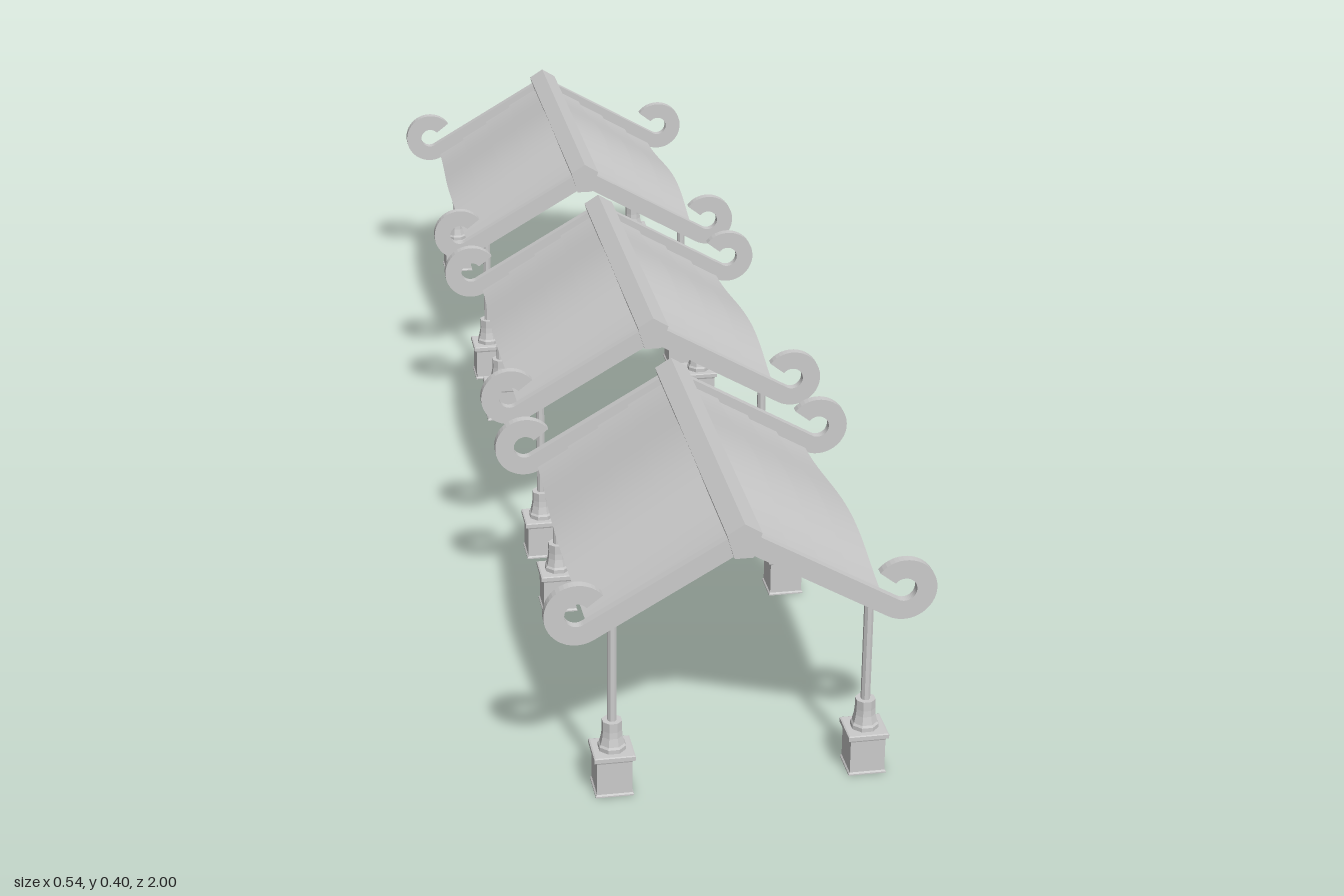
import * as THREE from 'three';

const flat = new THREE.MeshStandardMaterial({ color: 0xcccccc, flatShading: true, side: THREE.DoubleSide });
const smooth = new THREE.MeshStandardMaterial({ color: 0xcccccc });

const PITCH = Math.PI / 6;          // roof slope
const BAY_SPACING = 0.708;
const FRAME_Z = 0.2635;             // end frames, from the bay centre
const POST_X = 0.177;
const SCROLL = { x: 0.225, y: 0.275, outer: 0.045, inner: 0.017 };

function part(name, geometry, material, x = 0, y = 0, z = 0) {
  const mesh = new THREE.Mesh(geometry, material);
  mesh.name = name;
  mesh.position.set(x, y, z);
  return mesh;
}

// Extrusion centred on z = 0
function slab(shape, depth) {
  const g = new THREE.ExtrudeGeometry(shape, { depth, bevelEnabled: false, curveSegments: 28 });
  return g.translate(0, 0, -depth / 2);
}

function polygon(points) {
  return new THREE.Shape(points.map(([x, y]) => new THREE.Vector2(x, y)));
}

// Prism with flat sides facing the axes, from a half-width profile
function turned(profile, sides) {
  const k = 1 / Math.cos(Math.PI / sides);
  const pts = profile.map(([r, y]) => new THREE.Vector2(r * k, y));
  return new THREE.LatheGeometry(pts, sides, Math.PI / sides);
}

// Sloping rafter that ends in an open scroll (side is +1 or -1)
function rafterGeometry(side) {
  const { x, y, outer, inner } = SCROLL;
  const a0 = -Math.PI / 2 - PITCH;               // where the rafter meets the ring
  const a1 = a0 + THREE.MathUtils.degToRad(262); // tip of the curl
  const rise = Math.tan(PITCH);
  const at = (r, a) => [x + r * Math.cos(a), y + r * Math.sin(a)];
  const low = at(outer, a0), high = at(inner, a0);
  const pts = [[0, low[1] + low[0] * rise]];
  const n = 32;
  for (let i = 0; i <= n; i++) pts.push(at(outer, a0 + (a1 - a0) * i / n));
  for (let i = n; i >= 0; i--) pts.push(at(inner, a0 + (a1 - a0) * i / n));
  pts.push([0, high[1] + high[0] * rise]);
  return slab(polygon(pts.map(([px, py]) => [px * side, py])), 0.013);
}

// One roof board, bowed outward at mid-length
function boardGeometry(side, row) {
  const length = 0.066, thick = 0.004, depth = 2 * FRAME_Z;
  const g = new THREE.BoxGeometry(length, thick, depth, 1, 1, 32);
  const p = g.attributes.position;
  const cos = Math.cos(PITCH), sin = Math.sin(PITCH);
  const startX = 0.021 + row * 0.0457, startY = 0.382 - row * 0.031;
  for (let i = 0; i < p.count; i++) {
    const z = p.getZ(i);
    const bow = 0.018 * (0.5 + 0.5 * Math.cos(2 * Math.PI * z / depth)) - 0.018;
    const u = p.getX(i) * side + length / 2;
    const v = p.getY(i) - thick / 2 + bow;
    p.setXYZ(i, side * (startX + u * cos + v * sin), startY - u * sin + v * cos, z);
  }
  g.computeVertexNormals();
  return g;
}

// Hollow pedestal, bell-shaped collar and slim pole
function makePost() {
  const post = new THREE.Group();
  post.name = 'post';
  post.add(part('pedestal', turned([
    [0.0225, 0.054], [0.0225, 0], [0.0265, 0], [0.0265, 0.002], [0.0245, 0.004], [0.0245, 0.052],
    [0.0255, 0.055], [0.0285, 0.056], [0.0285, 0.062], [0.0265, 0.063], [0, 0.063],
  ], 4), flat));
  post.add(part('pedestalCeiling', new THREE.BoxGeometry(0.047, 0.002, 0.047), flat, 0, 0.053, 0));
  post.add(part('collar', turned([
    [0.0185, 0.063], [0.0185, 0.069], [0.0165, 0.072], [0.014, 0.084],
    [0.0132, 0.093], [0.0132, 0.107], [0, 0.107],
  ], 8), flat));
  post.add(part('pole', turned([[0.0062, 0.1], [0.0062, 0.262]], 8), flat));
  return post;
}

function makeBay() {
  const bay = new THREE.Group();
  bay.name = 'shelterBay';

  // End frames with their posts
  const hub = slab(polygon([[-0.013, 0.345], [0.013, 0.345], [0.024, 0.382], [0, 0.397], [-0.024, 0.382]]), 0.024);
  for (const end of [-1, 1]) {
    const z = end * FRAME_Z;
    bay.add(part('apexBlock', hub, flat, 0, 0, z));
    for (const side of [-1, 1]) {
      bay.add(part('scrollRafter', rafterGeometry(side), flat, 0, 0, z));
      const post = makePost();
      post.position.set(side * POST_X, 0, z);
      bay.add(post);
    }
  }

  // Ridge cap running the length of the bay
  const cap = polygon([[-0.021, 0.372], [0.021, 0.372], [0.024, 0.382], [0, 0.397], [-0.024, 0.382]]);
  bay.add(part('ridgeCap', slab(cap, 2 * FRAME_Z + 0.028), flat));

  // Overlapping roof boards
  for (const side of [-1, 1]) {
    for (let row = 0; row < 4; row++) bay.add(part('roofBoard', boardGeometry(side, row), smooth));
  }
  return bay;
}

export function createModel() {
  const model = new THREE.Group();
  model.name = 'shelterRow';
  for (const i of [-1, 0, 1]) {
    const bay = makeBay();
    bay.position.z = i * BAY_SPACING;
    model.add(bay);
  }
  return model;
}
